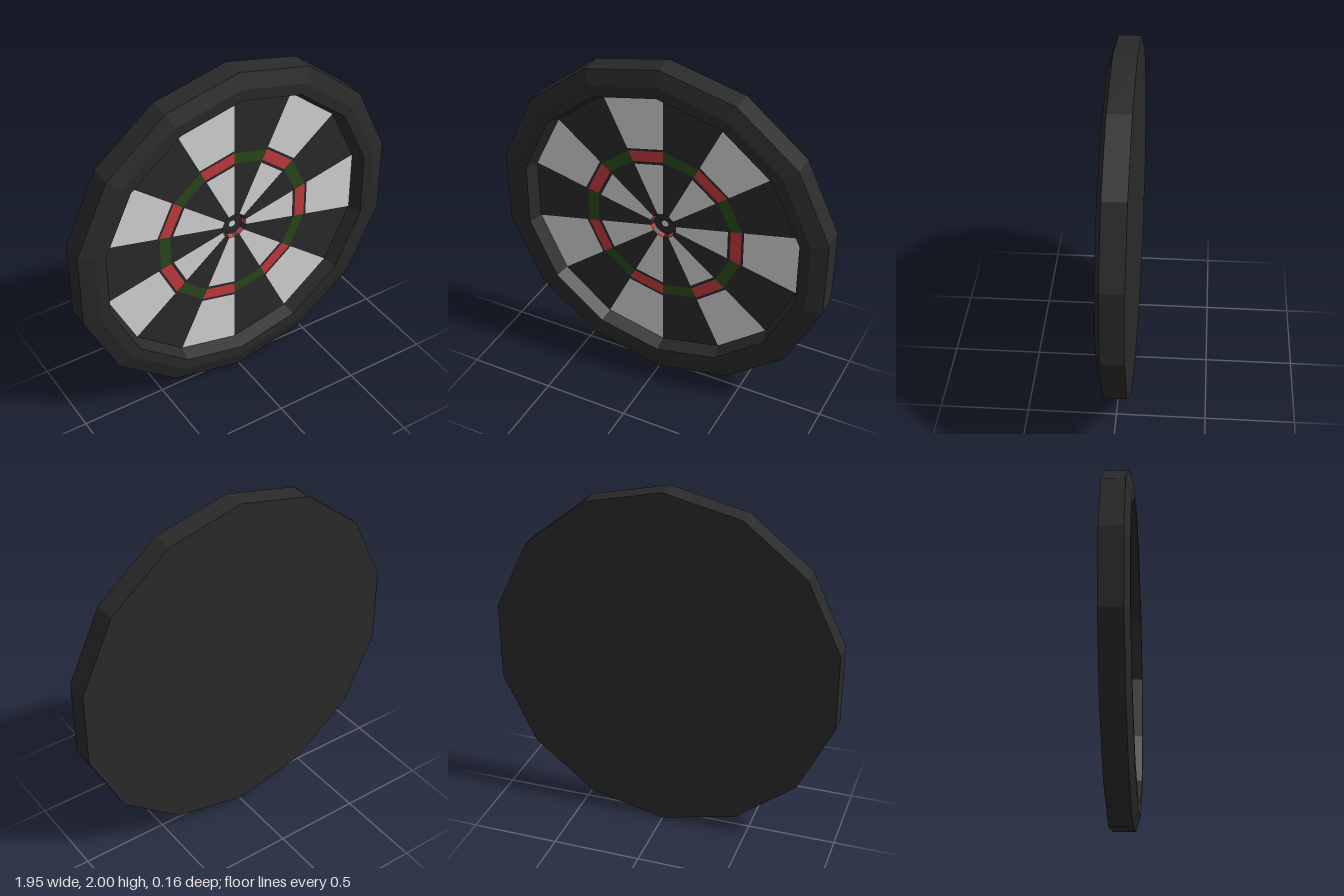
import * as THREE from 'three';
import { mergeGeometries } from 'three/addons/utils/BufferGeometryUtils.js';

const SIDES = 14;
const STEP = (Math.PI * 2) / SIDES;

const mat = (name, color) => {
  const m = new THREE.MeshStandardMaterial({ color });
  m.name = name;
  return m;
};

// One straight-edged sector between two radii, facing +z; sector 0 starts at the top going clockwise
function patch(i, r0, r1, z0 = 0, z1 = 0) {
  const a = Math.PI / 2 - i * STEP, b = a - STEP;
  const p = (r, t, z) => [r * Math.cos(t), r * Math.sin(t), z];
  const A = p(r0, a, z0), B = p(r0, b, z0), C = p(r1, b, z1), D = p(r1, a, z1);
  const g = new THREE.BufferGeometry();
  g.setAttribute('position', new THREE.Float32BufferAttribute([B, C, D, B, D, A].flat(), 3));
  g.computeVertexNormals();
  return g;
}

export function createModel() {
  const black = mat('black', 0x2a2a2a);
  const white = mat('offWhite', 0xd4d4d4);
  const red = mat('red', 0xc2383c);
  const green = mat('green', 0x29481a);

  const group = new THREE.Group();
  const board = new THREE.Group();
  board.name = 'dartboard';
  board.position.y = 1;
  group.add(board);

  const add = (name, geometry, material) => {
    const mesh = new THREE.Mesh(geometry, material);
    mesh.name = name;
    board.add(mesh);
  };
  // Sectors of one parity: 0 = dark wedges, 1 = light wedges
  const ring = (name, parities, material, ...band) => {
    const parts = [];
    for (let i = 0; i < SIDES; i++) if (parities.includes(i % 2)) parts.push(patch(i, ...band));
    add(name, mergeGeometries(parts), material);
  };

  // Surround with flat back, bevelled front rim and sloped inner wall
  const profile = [[0, -0.078], [1, -0.078], [1, 0.05], [0.912, 0.078], [0.848, 0.078], [0.82, 0]]
    .map(([x, y]) => new THREE.Vector2(x, y));
  const frame = new THREE.LatheGeometry(profile, SIDES).rotateX(Math.PI / 2).toNonIndexed();
  frame.computeVertexNormals();
  add('frame', frame, black);

  // Alternating wedges
  ring('outerDarkWedges', [0], black, 0.483, 0.82);
  ring('innerDarkWedges', [0], black, 0.077, 0.417);
  ring('outerLightWedges', [1], white, 0.497, 0.82);
  ring('innerLightWedges', [1], white, 0.077, 0.4);

  // Scoring ring with dark borders around the red fields
  ring('greenFields', [0], green, 0.417, 0.483);
  ring('redFields', [1], red, 0.417, 0.483);
  ring('outerFieldBorder', [1], black, 0.483, 0.497);
  ring('innerFieldBorder', [1], black, 0.4, 0.417);

  // Recessed bullseye
  ring('bullseyeRedWall', [1], red, 0.066, 0.077, -0.025, 0);
  ring('bullseyeDarkWall', [0], black, 0.066, 0.077, -0.025, 0);
  ring('bullseyeFloor', [0, 1], black, 0.02, 0.066, -0.025, -0.025);
  ring('bullseyeCentre', [0, 1], white, 0, 0.02, -0.025, -0.025);

  return group;
}
